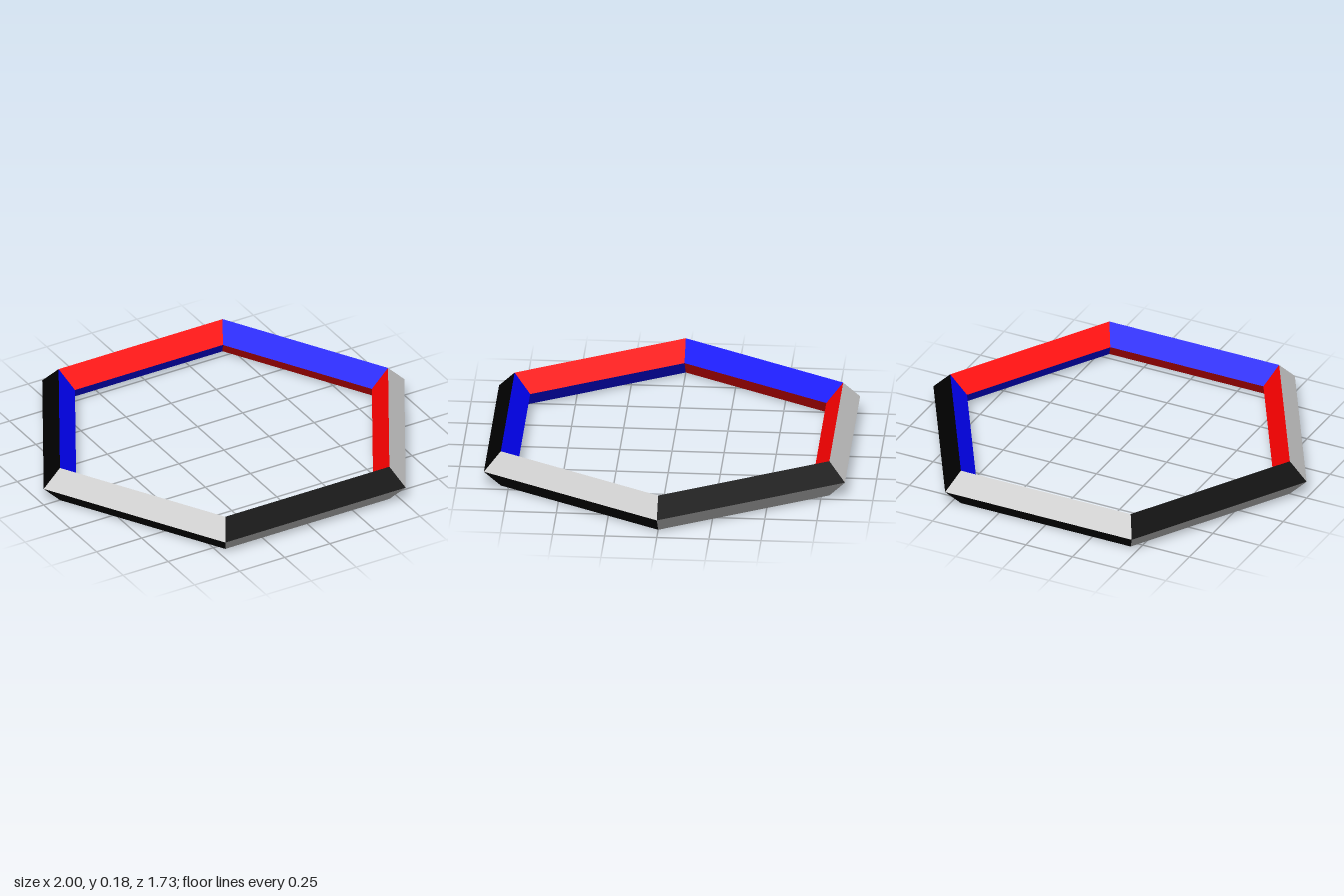
import * as THREE from 'three';

const WHITE = 0xffffff, BLACK = 0x000000, RED = 0xff0000, BLUE = 0x0000ff;
const SIDES = 6;

// Diamond cross-section as [radius, height], from the outer edge upwards
const PROFILE = [[1, 0.09], [0.91, 0.18], [0.82, 0.09], [0.91, 0]];
const FACES = [
  { name: 'upperOuterFace', colors: [BLACK, WHITE] },
  { name: 'upperInnerFace', colors: [BLUE, RED] },
  { name: 'lowerInnerFace', colors: [RED, BLUE] },
  { name: 'lowerOuterFace', colors: [WHITE, BLACK] },
];

// Point of the cross-section at a corner of the hexagon
function corner([radius, height], index) {
  const angle = (index / SIDES) * Math.PI * 2;
  return [radius * Math.cos(angle), height, radius * Math.sin(angle)];
}

// Flat four-cornered face, counter-clockwise from outside
function quad(a, b, c, d) {
  const geometry = new THREE.BufferGeometry();
  geometry.setAttribute('position', new THREE.Float32BufferAttribute([a, b, c, d].flat(), 3));
  geometry.setIndex([0, 1, 2, 0, 2, 3]);
  geometry.computeVertexNormals();
  return geometry;
}

export function createModel() {
  const ring = new THREE.Group();
  ring.name = 'hexagonalRing';

  const materials = new Map([WHITE, BLACK, RED, BLUE].map(
    (color) => [color, new THREE.MeshStandardMaterial({ color, flatShading: true })]));

  // Six mitred bars; colours swap from one bar to the next (bar 1 is the front)
  for (let i = 0; i < SIDES; i++) {
    const bar = new THREE.Group();
    bar.name = `bar${i + 1}`;
    FACES.forEach(({ name, colors }, j) => {
      const p = PROFILE[j], q = PROFILE[(j + 1) % PROFILE.length];
      const geometry = quad(corner(p, i), corner(q, i), corner(q, i + 1), corner(p, i + 1));
      const face = new THREE.Mesh(geometry, materials.get(colors[(i + 1) % 2]));
      face.name = name;
      bar.add(face);
    });
    ring.add(bar);
  }
  return ring;
}
